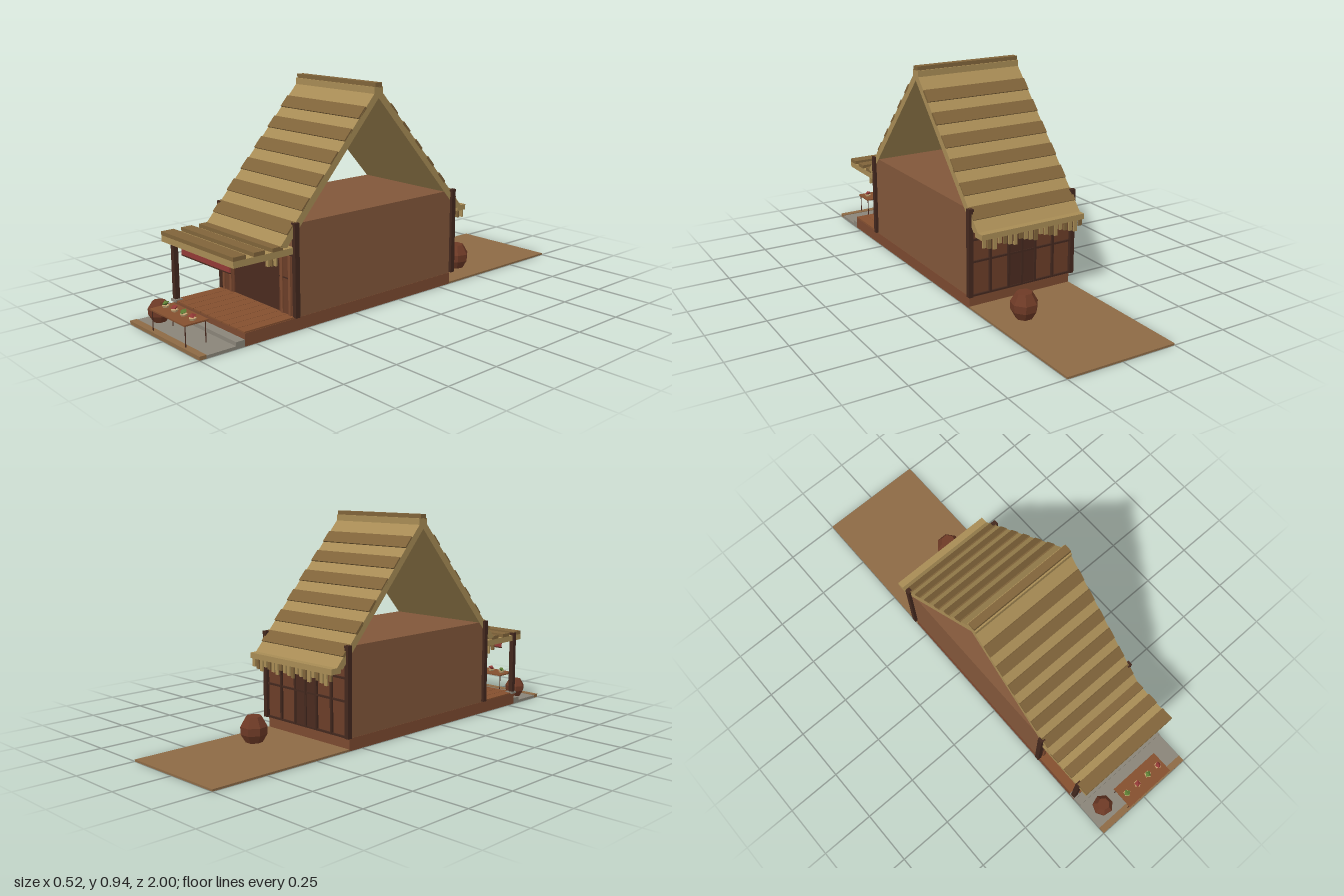
import * as THREE from 'three';

const mats = {};
const mat = (c) => (mats[c] ??= new THREE.MeshStandardMaterial({ color: c, flatShading: true, side: THREE.DoubleSide }));

const C = {
  straw: 0xa88c55, strawDark: 0x80643a, wall: 0x82573a, base: 0x7c4a30, deck: 0x85502f, panel: 0x6b3d28,
  dark: 0x4a2a1f, post: 0x43281e, frame: 0x7d4a30, earth: 0x8d6a45, stone: 0x8a8579, red: 0x943a36,
  clay: 0x6e3a26, green: 0x5f7f35, cream: 0xc9a877,
};

export function createModel() {
  const root = new THREE.Group();

  function add(parent, name, geo, color) {
    const m = new THREE.Mesh(geo, mat(color));
    m.name = name;
    parent.add(m);
    return m;
  }
  // Box given by its limits on each axis
  function box(parent, name, color, x0, x1, y0, y1, z0, z1) {
    const m = add(parent, name, new THREE.BoxGeometry(x1 - x0, y1 - y0, z1 - z0), color);
    m.position.set((x0 + x1) / 2, (y0 + y1) / 2, (z0 + z1) / 2);
    return m;
  }
  function group(name) {
    const g = new THREE.Group();
    g.name = name;
    root.add(g);
    return g;
  }

  // Ground strips
  const ground = group('ground');
  box(ground, 'backYard', C.earth, -0.25, 0.25, 0, 0.008, -1, -0.32);
  box(ground, 'frontPaving', C.stone, -0.25, 0.25, 0, 0.012, 0.8, 0.97);
  box(ground, 'frontKerb', C.earth, -0.25, 0.25, 0, 0.015, 0.97, 1);
  box(ground, 'frontStep', C.stone, -0.25, 0.25, 0.012, 0.028, 0.8, 0.84);

  // House body and porch deck
  const house = group('house');
  box(house, 'foundation', C.base, -0.25, 0.25, 0, 0.052, -0.32, 0.8);
  box(house, 'walls', C.wall, -0.249, 0.249, 0.052, 0.43, -0.318, 0.555);
  for (let i = 0; i < 10; i++) {
    box(house, 'deckPlank', C.deck, -0.25 + i * 0.05, -0.202 + i * 0.05, 0.052, 0.058, 0.56, 0.8);
  }
  for (const x of [-0.252, 0.252]) for (const z of [-0.328, 0.555]) {
    box(house, 'cornerPost', C.post, x - 0.01, x + 0.01, 0.055, 0.435, z - 0.011, z + 0.011);
    box(house, 'postPeg', C.post, Math.sign(x) * 0.25 - 0.01, Math.sign(x) * 0.25 + 0.01, 0.425, 0.435, z - 0.012, z + 0.012);
  }

  // Front wall: dark doorway between sliding panels
  const front = group('frontWall');
  box(front, 'doorway', C.dark, -0.155, 0.152, 0.058, 0.3, 0.555, 0.559);
  box(front, 'lintel', C.post, -0.245, 0.245, 0.3, 0.32, 0.555, 0.565);
  for (const s of [-1, 1]) {
    const side = new THREE.Group();
    side.name = 'slidingPanel';
    side.position.x = s * 0.2;
    front.add(side);
    box(side, 'panel', C.panel, -0.046, 0.046, 0.058, 0.3, 0.555, 0.563);
    box(side, 'panelRail', C.post, -0.04, 0.02, 0.204, 0.208, 0.563, 0.567);
    for (const x of [-0.025, 0.025]) box(side, 'panelStile', C.frame, x - 0.007, x + 0.007, 0.058, 0.3, 0.563, 0.569);
  }

  // Back wall: framed panels with a darker door pair
  const back = group('backWall');
  box(back, 'backPanels', C.panel, -0.245, 0.245, 0.055, 0.36, -0.323, -0.318);
  box(back, 'backDoor', C.dark, -0.06, 0.06, 0.058, 0.29, -0.328, -0.322);
  for (const x of [-0.155, -0.065, 0, 0.065, 0.155]) {
    box(back, 'backStile', C.post, x - 0.005, x + 0.005, 0.055, 0.3, -0.333, -0.322);
  }
  for (const y of [0.058, 0.205, 0.3]) box(back, 'backRail', C.post, -0.245, 0.245, y - 0.004, y + 0.004, -0.331, -0.322);

  // Steep thatched roof: chevron profile extruded across the width
  const roof = group('roof');
  const RZ = 0.12, TOP = 0.92, SLOPE = 1.12;
  const surf = (d) => TOP - SLOPE * d;
  const profile = new THREE.Shape([
    [-0.51, surf(0.51)], [0, TOP], [0.51, surf(0.51)], [0.475, 0.875 - SLOPE * 0.475], [0, 0.875], [-0.475, 0.875 - SLOPE * 0.475],
  ].map(([z, y]) => new THREE.Vector2(z, y)));
  const thatch = add(roof, 'thatch', new THREE.ExtrudeGeometry(profile, { depth: 0.5, bevelEnabled: false }), C.straw);
  thatch.rotation.y = -Math.PI / 2;
  thatch.position.set(0.25, 0, RZ);
  const angle = Math.atan(SLOPE);
  for (const s of [-1, 1]) {
    for (let i = 0; i < 6; i++) {
      const y = 0.822 - i * 0.0817, d = (TOP - y) / SLOPE;
      const band = add(roof, 'thatchBand', new THREE.BoxGeometry(0.5, 0.012, 0.058), C.strawDark);
      band.position.set(0, y, RZ + s * d);
      band.rotation.x = s * angle;
    }
  }
  box(roof, 'ridgeBase', C.straw, -0.25, 0.25, 0.893, 0.92, RZ - 0.024, RZ + 0.024);
  box(roof, 'ridgeCap', C.strawDark, -0.25, 0.25, 0.917, 0.937, RZ - 0.017, RZ + 0.017);
  box(roof, 'backEave', C.straw, -0.25, 0.25, 0.328, 0.352, -0.418, -0.365);

  // Straw fringes under both eaves
  for (const [z, top] of [[-0.409, 0.335], [0.64, 0.32]]) {
    for (let i = 0; i < 20; i++) {
      const x = -0.235 + i * 0.0247, len = 0.035 + 0.007 * ((i * 7) % 4);
      box(roof, 'strawFringe', i % 3 ? C.straw : C.strawDark, x - 0.008, x + 0.008, top - len, top, z - 0.004, z + 0.004);
    }
  }

  // Porch roof, slats, post and banner
  const porch = group('porch');
  box(porch, 'porchRoof', C.straw, -0.25, 0.25, 0.312, 0.338, 0.56, 0.843);
  for (const [z0, z1] of [[0.785, 0.843], [0.7, 0.75], [0.615, 0.665]]) {
    box(porch, 'porchSlat', C.strawDark, -0.25, 0.25, 0.338, 0.354, z0, z1);
  }
  box(porch, 'porchPost', C.post, -0.254, -0.232, 0.055, 0.35, 0.779, 0.8);
  box(porch, 'postFoot', C.stone, -0.256, -0.222, 0.052, 0.062, 0.772, 0.808);
  box(porch, 'banner', C.red, -0.17, 0.165, 0.268, 0.312, 0.798, 0.802);
  box(porch, 'bannerHem', C.dark, -0.17, 0.165, 0.263, 0.268, 0.797, 0.803);

  // Low table with food
  const table = group('table');
  box(table, 'tableTop', C.deck, -0.1, 0.148, 0.098, 0.104, 0.89, 0.995);
  for (const x of [-0.092, 0.14]) for (const z of [0.9, 0.988]) {
    box(table, 'tableLeg', C.dark, x - 0.0015, x + 0.0015, 0.01, 0.098, z - 0.0015, z + 0.0015);
  }
  [-0.07, -0.006, 0.058, 0.12].forEach((x, i) => {
    const dish = add(table, 'dish', new THREE.CylinderGeometry(0.016, 0.011, 0.009, 5), C.cream);
    dish.position.set(x, 0.109, 0.942);
    const food = add(table, 'food', new THREE.OctahedronGeometry(0.016), i % 2 ? C.red : C.green);
    food.scale.set(1, 0.65, 1);
    food.rotation.set(0.2, i * 0.9, 0.25);
    food.position.set(x, 0.122, 0.942);
  });

  // Faceted clay pots
  function pot(name, x, y, z, r, h, turn) {
    const pts = [[0, 0], [0.6, 0], [0.97, 0.33], [1, 0.62], [0.58, 1], [0, 1]].map(([a, b]) => new THREE.Vector2(a * r, b * h));
    const m = add(root, name, new THREE.LatheGeometry(pts, 7), C.clay);
    m.position.set(x, y, z);
    m.rotation.y = turn;
  }
  pot('frontPot', -0.178, 0.012, 0.908, 0.046, 0.084, 0.3);
  pot('backPot', 0.112, 0.006, -0.517, 0.058, 0.112, 0);

  return root;
}
